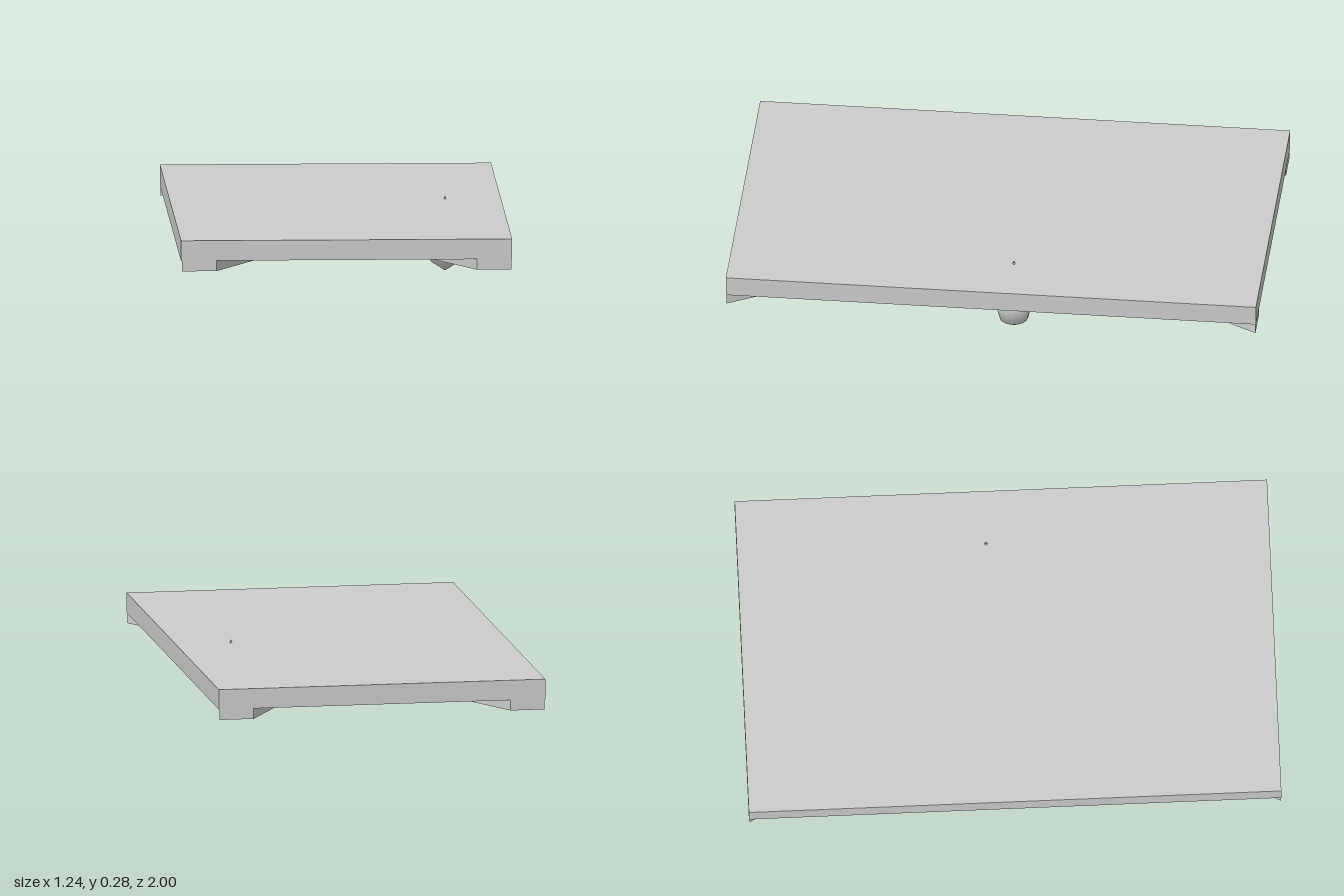
import * as THREE from 'three';

const material = new THREE.MeshStandardMaterial({ color: 0xcccccc });

function addPart(group, name, geometry, x, y, z) {
  const mesh = new THREE.Mesh(geometry, material);
  mesh.name = name;
  mesh.position.set(x, y, z);
  group.add(mesh);
}

export function createModel() {
  const group = new THREE.Group();
  group.name = 'ceilingPanel';

  // Flat rectangular panel
  addPart(group, 'panel', new THREE.BoxGeometry(1.244, 0.076, 2), 0, 0.234, 0);

  // X-shaped brace under the panel, its ends cut flush with the short edges
  const outer = 0.619, inner = 0.489, end = 0.998;
  const half = (outer - inner) / 2;
  const notch = end * half / (inner + half);
  const outline = [
    [inner, end], [outer, end], [half, 0], [outer, -end],
    [inner, -end], [0, -notch], [-inner, -end], [-outer, -end],
    [-half, 0], [-outer, end], [-inner, end], [0, notch],
  ].map(([x, z]) => new THREE.Vector2(x, z));
  const brace = new THREE.ExtrudeGeometry(new THREE.Shape(outline), { depth: 0.041, bevelEnabled: false });
  brace.rotateX(Math.PI / 2);
  addPart(group, 'crossBrace', brace, 0, 0.197, 0);

  // Hanging bulb with a pinched neck and a spike that pokes through the panel
  const profile = [
    [0, 0], [0.053, 0.034], [0.073, 0.11], [0.033, 0.165],
    [0.038, 0.19], [0, 0.285],
  ].map(([r, y]) => new THREE.Vector2(r, y));
  addPart(group, 'bulb', new THREE.LatheGeometry(profile, 16), 0.412, 0, -0.065);

  return group;
}
